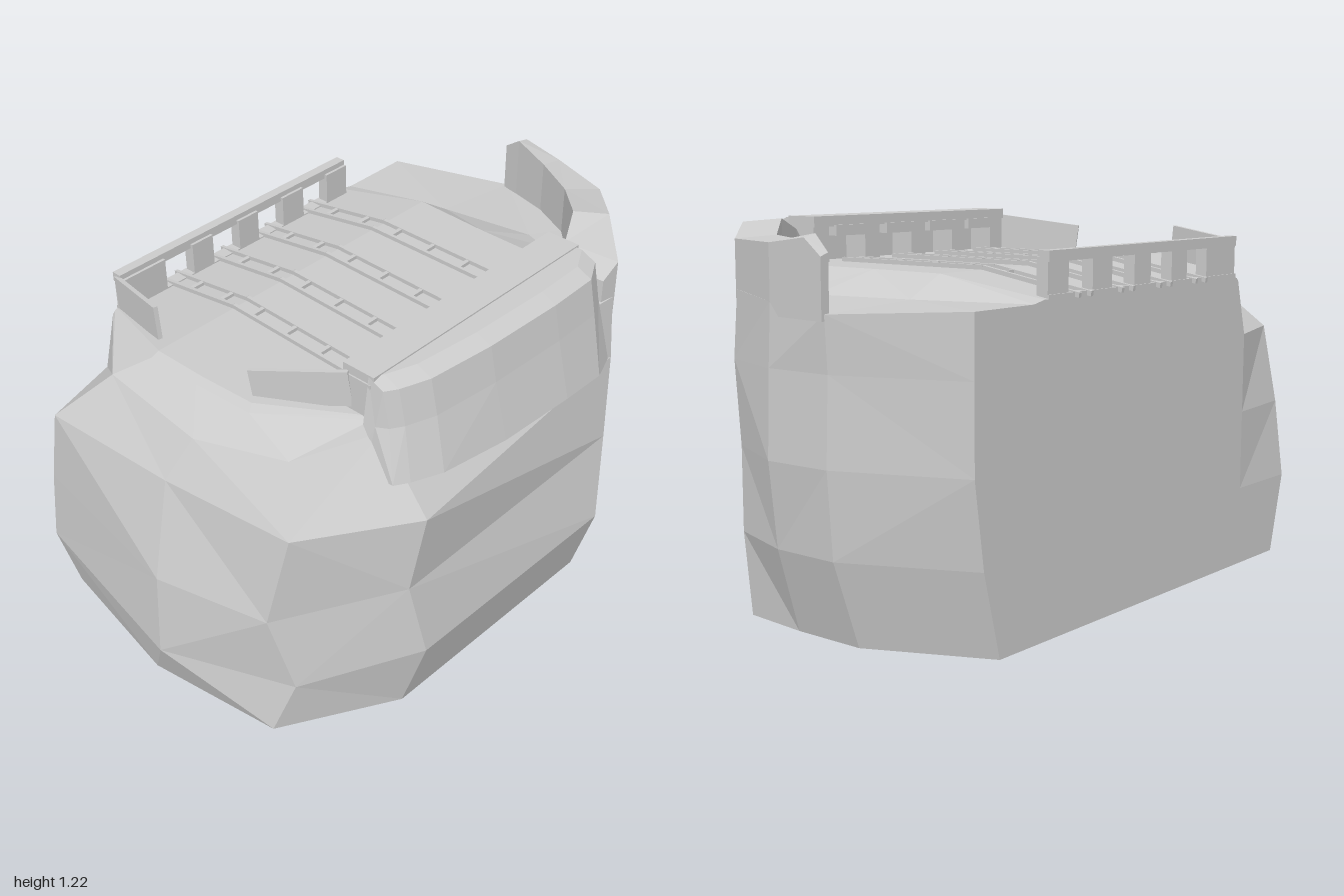
import * as THREE from 'three';

const mat = new THREE.MeshStandardMaterial({ color: 0xcccccc, flatShading: true, side: THREE.DoubleSide });

// Skin between equal-length loops of [x, y, z], closed by fan caps at both ends.
function loft(name, rings, capEnd) {
  const pos = [];
  const tri = (...p) => p.forEach(v => pos.push(...v));
  const n = rings[0].length;
  const dist = (p, q) => Math.hypot(p[0] - q[0], p[1] - q[1], p[2] - q[2]);
  for (let i = 0; i < rings.length - 1; i++) {
    for (let j = 0; j < n; j++) {
      const k = (j + 1) % n;
      const [a, b, c, d] = [rings[i][j], rings[i][k], rings[i + 1][k], rings[i + 1][j]];
      if (dist(a, c) < dist(b, d)) {
        tri(a, d, c);
        tri(a, c, b);
      } else {
        tri(a, d, b);
        tri(b, d, c);
      }
    }
  }
  const mean = r => [0, 1, 2].map(k => r.reduce((s, p) => s + p[k], 0) / n);
  const cap = (ring, centre, flip) => ring.forEach((p, j) => {
    const q = ring[(j + 1) % n];
    flip ? tri(centre, p, q) : tri(centre, q, p);
  });
  const first = rings[0], last = rings[rings.length - 1];
  cap(first, mean(first), true);
  cap(last, capEnd || mean(last), false);
  const g = new THREE.BufferGeometry();
  g.setAttribute('position', new THREE.Float32BufferAttribute(pos, 3));
  g.computeVertexNormals();
  const m = new THREE.Mesh(g, mat);
  m.name = name;
  return m;
}

function box(name, x0, x1, y0, y1, z0, z1) {
  const m = new THREE.Mesh(new THREE.BoxGeometry(x1 - x0, y1 - y0, z1 - z0), mat);
  m.position.set((x0 + x1) / 2, (y0 + y1) / 2, (z0 + z1) / 2);
  m.name = name;
  return m;
}

// Square bar running from a to b.
function bar(name, a, b, w, h) {
  const A = new THREE.Vector3(...a), B = new THREE.Vector3(...b);
  const m = new THREE.Mesh(new THREE.BoxGeometry(w, h, A.distanceTo(B)), mat);
  m.position.copy(A).add(B).multiplyScalar(0.5);
  m.lookAt(B);
  m.name = name;
  return m;
}

// The deck is level at the front and slopes down to the rear.
const deckY = z => (z > -0.3 ? 1.07 : 1.07 + (z + 0.3) * 0.171);

function rock() {
  // Outline per level, from the rear left corner round the front to the rear right
  const levels = [
    [0, [[0.71, -0.65], [0.89, -0.27], [0.89, -0.02], [0.87, 0.21], [0.39, 0.58], [-0.5, 0.56], [-0.87, 0.34], [-0.94, -0.14], [-0.85, -0.65], [-0.62, -0.65]]],
    [0.27, [[0.78, -0.65], [0.97, -0.25], [0.97, -0.02], [0.89, 0.22], [0.39, 0.66], [-0.48, 0.64], [-0.82, 0.4, 0.2], [-1, -0.03, 0.2], [-0.92, -0.65], [-0.62, -0.65]]],
    [0.54, [[0.82, -0.65], [0.99, -0.25], [1, -0.02], [0.89, 0.22], [0.48, 0.6], [-0.52, 0.6], [-0.87, 0.34, 0.48], [-0.98, -0.03, 0.5], [-0.91, -0.62], [-0.62, -0.65]]],
    [0.81, [[0.82, -0.65], [0.98, -0.25], [0.99, -0.02], [0.91, 0.22], [0.55, 0.55], [-0.48, 0.63], [-0.82, 0.4], [-0.89, -0.05, 0.83], [-0.9, -0.57], [-0.62, -0.65]]],
  ];
  const rings = levels.map(([level, pts]) => pts.map(([x, z, y = level]) => [x, y, z]));
  // Shoulder
  rings.push([[0.82, 1, -0.65], [0.99, 0.98, -0.25], [0.98, 1, -0.02], [0.91, 1.02, 0.2], [0.55, 1.04, 0.53],
    [-0.47, 1.03, 0.44], [-0.72, 1, 0.31], [-0.81, 0.97, 0], [-0.78, 0.99, -0.4], [-0.57, 0.995, -0.65]]);
  // Foot of the slope beside the deck, then the deck edge
  rings.push([[0.56, 1, -0.65], [0.67, 1, -0.28], [0.73, 1, 0.05], [0.69, 1.01, 0.14], [0.53, 1.05, 0.43],
    [-0.48, 1.065, 0.41], [-0.69, 1.06, 0.12], [-0.7, 1.06, -0.1], [-0.7, 1.06, -0.3], [-0.56, 1.005, -0.65]]);
  const edge = [[0.51, -0.65], [0.56, -0.3], [0.55, -0.02], [0.55, 0.2], [0.5, 0.4], [-0.47, 0.4], [-0.66, 0.1], [-0.67, -0.1], [-0.67, -0.3], [-0.55, -0.65]];
  rings.push(edge.map(([x, z]) => [x, deckY(z), z]));
  return loft('rock', rings, [0, 1.07, -0.3]);
}

// Thin rocky wall along the left rim: outer x z, inner x z, top height
function rimWall() {
  const stations = [
    [0.5, 0.52, 0.48, 0.36, 1.13], [0.56, 0.53, 0.53, 0.34, 1.18], [0.73, 0.37, 0.65, 0.28, 1.22],
    [0.905, 0.21, 0.81, 0.13, 1.18], [0.98, -0.02, 0.9, -0.03, 1.18], [0.995, -0.18, 0.95, -0.18, 1.2], [1, -0.25, 0.97, -0.25, 1.15],
  ];
  return loft('rimWall', stations.map(([ox, oz, ix, iz, y]) =>
    [[ox, 0.96, oz], [ox, y - 0.01, oz], [ix, y, iz], [ix, 0.96, iz]]));
}

function frontParapet() {
  const g = new THREE.Group();
  g.name = 'frontParapet';
  // Bulging shield with turned-back ends: top x, bottom x, front z, lower edge height
  const stations = [[-0.48, -0.52, 0.48, 0.91], [-0.44, -0.47, 0.505, 0.905], [-0.34, -0.36, 0.54, 0.895], [-0.1, -0.1, 0.565, 0.875],
    [0.2, 0.2, 0.575, 0.87], [0.39, 0.38, 0.57, 0.86], [0.48, 0.5, 0.52, 0.84]];
  g.add(loft('shield', stations.map(([x, bx, z, y]) => [[x, 1.215, 0.4], [x, 1.215, z - 0.08], [x, 1.19, z - 0.025],
    [x, 1.07, z], [bx, y, z + 0.05], [bx, y - 0.01, z - 0.06], [bx, 0.96, 0.4]])));
  g.add(box('roof', -0.48, 0.49, 1.185, 1.22, 0.3, 0.42));
  for (const x of [-0.45, -0.235, -0.02, 0.21, 0.45]) {
    g.add(box('post', x - 0.035, x + 0.035, 1.05, 1.19, 0.31, 0.41));
  }
  for (const x of [-0.34, -0.13, 0.09, 0.33]) {
    g.add(box('portFrame', x - 0.07, x + 0.07, 1.155, 1.19, 0.29, 0.34));
  }
  g.add(bar('wing', [-0.63, 1.1, 0.07], [-0.48, 1.14, 0.33], 0.015, 0.12));
  return g;
}

function rearParapet() {
  const g = new THREE.Group();
  g.name = 'rearParapet';
  g.add(box('beam', -0.55, 0.49, 1.115, 1.148, -0.65, -0.615));
  g.add(box('sill', -0.55, 0.49, 1.0, 1.022, -0.65, -0.605));
  for (const [x0, x1] of [[-0.55, -0.37], [-0.25, -0.16], [-0.04, 0.05], [0.17, 0.27], [0.39, 0.49]]) {
    g.add(box('post', x0, x1, 1.01, 1.13, -0.645, -0.605));
  }
  g.add(bar('wing', [-0.55, 1.08, -0.63], [-0.615, 1.115, -0.36], 0.015, 0.115));
  return g;
}

// Four ladder-like tracks linking the front and rear ports
function tracks() {
  const g = new THREE.Group();
  g.name = 'tracks';
  for (const [front, rear] of [[-0.34, -0.31], [-0.13, -0.1], [0.09, 0.11], [0.33, 0.33]]) {
    const at = (z, side) => [THREE.MathUtils.lerp(rear, front, (z + 0.66) / 0.94) + side * 0.03, deckY(z) + 0.006, z];
    for (const side of [-1, 1]) {
      g.add(bar('rail', at(-0.665, side), at(-0.3, side), 0.012, 0.016));
      g.add(bar('rail', at(-0.3, side), at(0.3, side), 0.012, 0.016));
    }
    for (let z = -0.52; z < 0.28; z += 0.15) g.add(bar('tie', at(z, -1.1), at(z, 1.1), 0.014, 0.012));
  }
  return g;
}

export function createModel() {
  const model = new THREE.Group();
  model.name = 'rockFort';
  model.add(rock(), rimWall(), frontParapet(), rearParapet(), tracks());
  // Centre on the ground
  const b = new THREE.Box3().setFromObject(model);
  const c = b.getCenter(new THREE.Vector3());
  model.children.forEach(o => o.position.add(new THREE.Vector3(-c.x, -b.min.y, -c.z)));
  return model;
}
